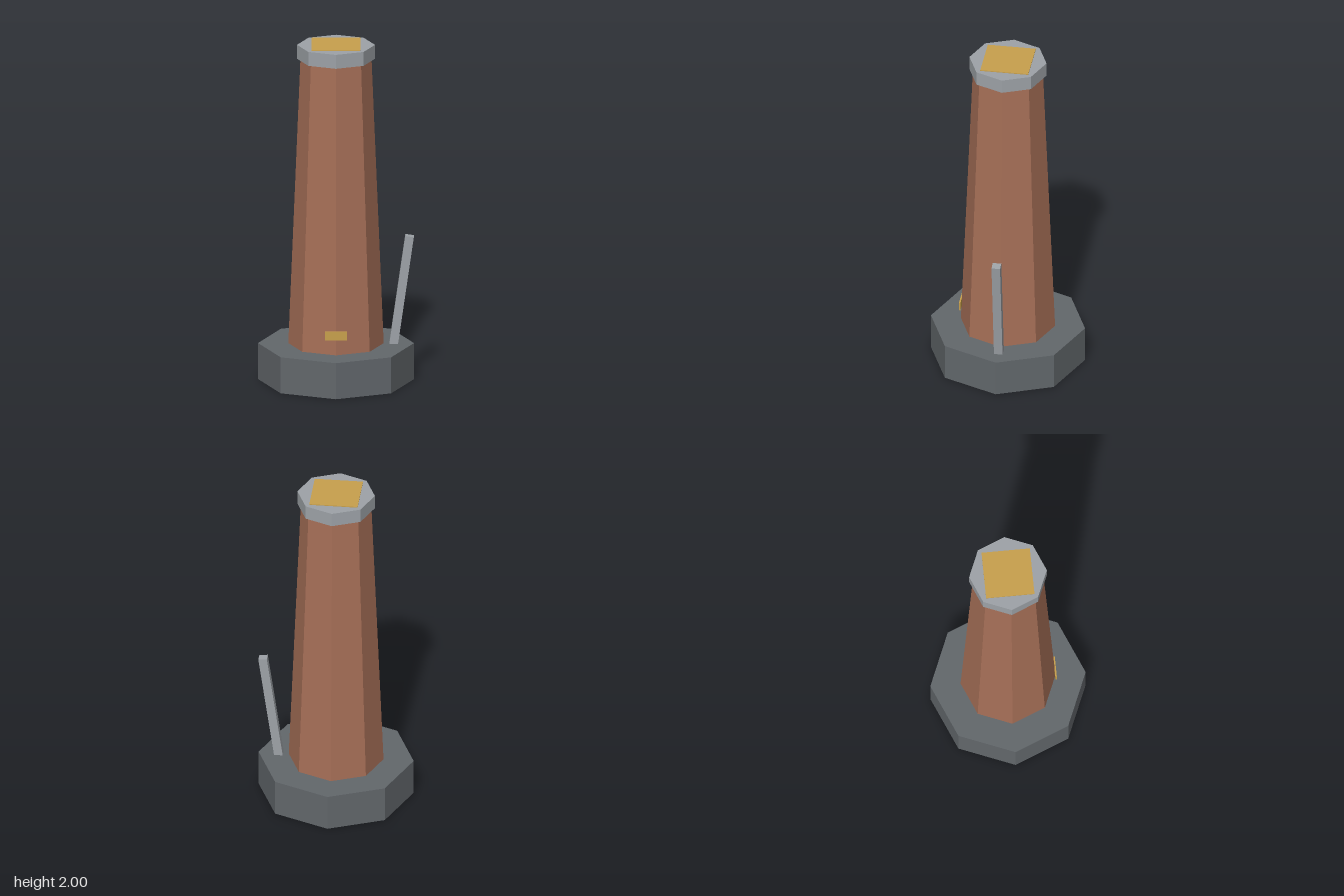
import * as THREE from 'three';

const material = (name, color) => {
  const m = new THREE.MeshStandardMaterial({ color });
  m.name = name;
  m.flatShading = true;
  return m;
};

export function createModel() {
  const model = new THREE.Group();
  model.name = 'chimneyTower';

  const stone = material('darkStone', 0x62676b);
  const brick = material('brick', 0xa66f57);
  const steel = material('steel', 0x9da2a7);
  const brass = material('brass', 0xc8a04c);

  const add = (name, geometry, mat, x, y, z) => {
    const mesh = new THREE.Mesh(geometry, mat);
    mesh.name = name;
    mesh.position.set(x, y, z);
    model.add(mesh);
    return mesh;
  };

  // Eight-sided section between two heights, corners on the axes
  const octagon = (name, rTop, rBottom, y0, y1, mat) =>
    add(name, new THREE.CylinderGeometry(rTop, rBottom, y1 - y0, 8), mat, 0, (y0 + y1) / 2, 0);

  octagon('base', 0.45, 0.45, 0, 0.215, stone);
  octagon('shaft', 0.205, 0.275, 0.215, 1.912, brick);
  octagon('cap', 0.225, 0.225, 1.912, 1.995, steel);

  // Square plate on the cap
  add('topPlate', new THREE.BoxGeometry(0.28, 0.009, 0.28), brass, 0, 1.9955, 0);

  // Small plate on the front corner of the shaft
  add('frontPlate', new THREE.BoxGeometry(0.125, 0.05, 0.009), brass, 0, 0.33, 0.2725);

  // Lever leaning outward, with its foot sunk into the base
  const lever = add('lever', new THREE.BoxGeometry(0.05, 0.68, 0.05), steel, 0.376, 0.52, 0);
  lever.rotation.z = -0.142;

  return model;
}
